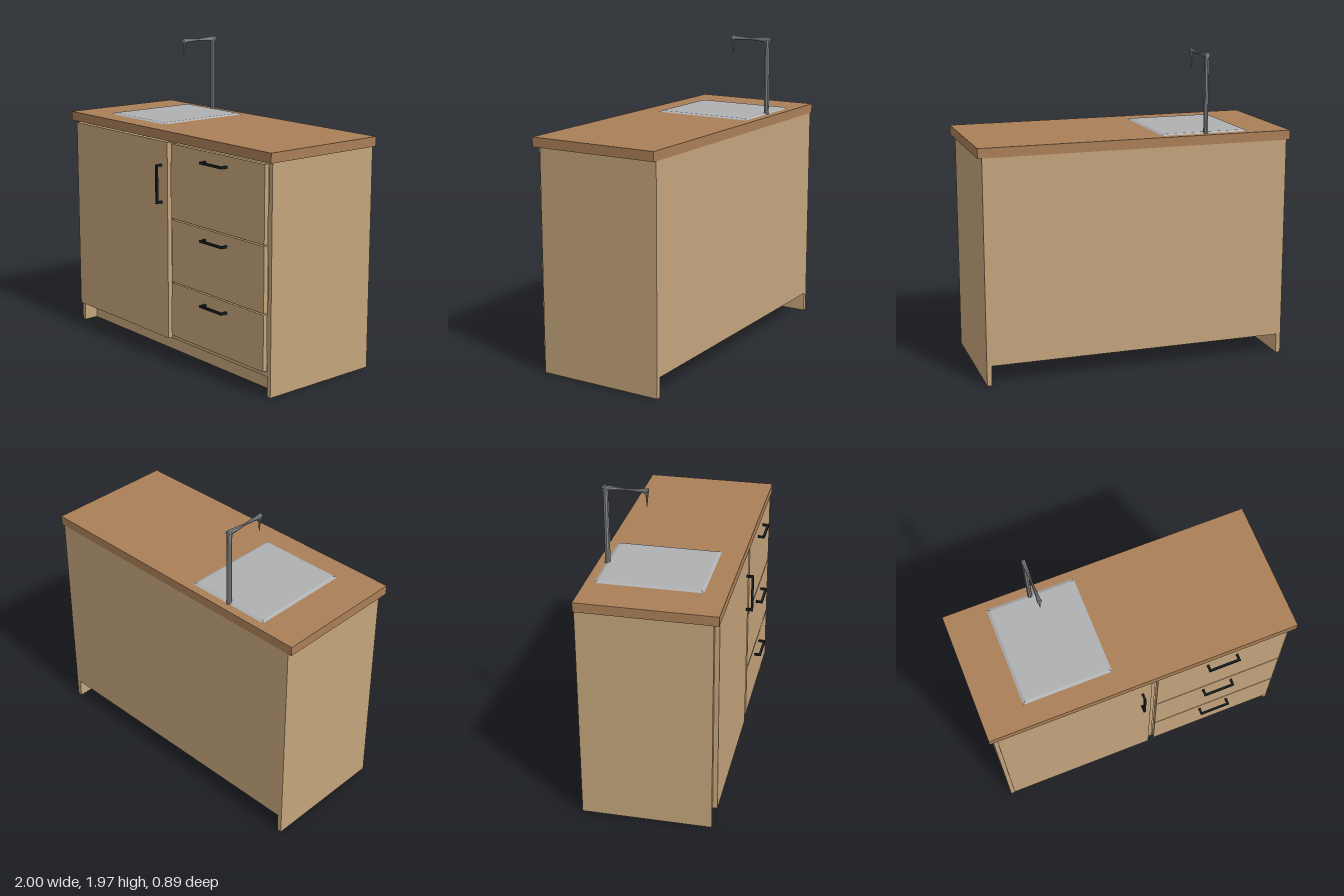
import * as THREE from 'three';

const mat = (name, color, flat = false) => {
  const m = new THREE.MeshStandardMaterial({ color });
  m.name = name;
  m.flatShading = flat;
  return m;
};

export function createModel() {
  const root = new THREE.Group();
  root.name = 'sinkCabinet';
  const wood = mat('lightWood', 0xc4a57c);
  const worktop = mat('worktopWood', 0xaa7f57);
  const steel = mat('steel', 0xaeb0b2);
  const tapMetal = mat('tapMetal', 0x87898c, true);
  const black = mat('blackMetal', 0x182022);

  const add = (name, geo, material, parent = root) => {
    const mesh = new THREE.Mesh(geo, material);
    mesh.name = name;
    parent.add(mesh);
    return mesh;
  };
  // Box given by its limits on each axis
  const box = (name, material, [x0, x1], [y0, y1], [z0, z1], parent = root) => {
    const geo = new THREE.BoxGeometry(x1 - x0, y1 - y0, z1 - z0);
    geo.translate((x0 + x1) / 2, (y0 + y1) / 2, (z0 + z1) / 2);
    return add(name, geo, material, parent);
  };

  // Carcass
  const depth = [-0.445, 0.37];
  box('rightSide', wood, [-0.975, -0.945], [0, 1.41], depth);
  box('leftSide', wood, [0.945, 0.975], [0, 1.41], depth);
  box('backPanel', wood, [-0.945, 0.945], [0.125, 1.41], [-0.445, -0.425]);
  box('bottomBoard', wood, [-0.945, 0.945], [0.125, 0.155], [-0.425, 0.37]);
  box('divider', wood, [0.05, 0.08], [0.155, 1.41], [-0.425, 0.37]);
  box('kickBoard', wood, [-0.945, 0.945], [0, 0.125], [0.245, 0.275]);
  box('worktop', worktop, [-1, 1], [1.41, 1.47], [-0.445, 0.405]);

  // Door and drawer fronts
  const front = [0.371, 0.4];
  box('door', wood, [-0.95, 0.045], [0.13, 1.4], front);
  for (const span of [[0.16, 0.508], [0.516, 0.918], [0.926, 1.396]]) {
    box('drawerFront', wood, [0.085, 0.943], span, front);
  }

  // Bar handle with two feet, lying along x, standing out along z
  const handle = (name, length, x, y, upright) => {
    const g = new THREE.Group();
    g.name = name;
    const h = length / 2, t = 0.007;
    box('bar', black, [-h, h], [-t, t], [0.431, 0.445], g);
    for (const s of [-1, 1]) {
      const c = s * (h - t);
      box('foot', black, [c - t, c + t], [-t, t], [0.4, 0.431], g);
    }
    g.position.set(x, y, 0);
    if (upright) g.rotation.z = Math.PI / 2;
    root.add(g);
  };
  handle('doorHandle', 0.25, -0.015, 1.13, true);
  for (const y of [0.44, 0.85, 1.33]) handle('drawerHandle', 0.208, 0.513, y, false);

  // Sink: bevelled top plate and the bowl below the worktop
  const plate = new THREE.BoxGeometry(0.57, 0.009, 0.655).toNonIndexed();
  const p = plate.attributes.position;
  for (let i = 0; i < p.count; i++) {
    if (p.getY(i) > 0) p.setXYZ(i, p.getX(i) * 0.94, p.getY(i), p.getZ(i) * 0.945);
  }
  plate.computeVertexNormals();
  add('sinkPlate', plate, steel).position.set(-0.447, 1.4745, -0.0625);
  box('sinkBowl', steel, [-0.71, -0.18], [1.2, 1.41], [-0.37, 0.245]);

  // Tap: upright post, waisted arm and pointed spout
  const tap = new THREE.Group();
  tap.name = 'tap';
  tap.position.x = -0.452;
  root.add(tap);
  const post = add('tapPost', new THREE.CylinderGeometry(0.0145, 0.0145, 0.49, 8), tapMetal, tap);
  post.scale.z = 1.2;
  post.position.set(0, 1.715, -0.381);

  // Arm profile runs from post to nozzle; x is the radius
  const armProfile = [[0, 0], [0.018, 0], [0.016, 0.05], [0.007, 0.14], [0.014, 0.24], [0.018, 0.275], [0, 0.275]];
  const armGeo = new THREE.LatheGeometry(armProfile.map(([r, d]) => new THREE.Vector2(r, d)), 8);
  armGeo.rotateX(Math.PI / 2);
  armGeo.scale(0.8, 1, 1);
  add('tapArm', armGeo, tapMetal, tap).position.set(0, 1.954, -0.398);
  const spout = add('tapSpout', new THREE.CylinderGeometry(0.01, 0.002, 0.09, 8), tapMetal, tap);
  spout.position.set(0, 1.902, -0.132);

  return root;
}
